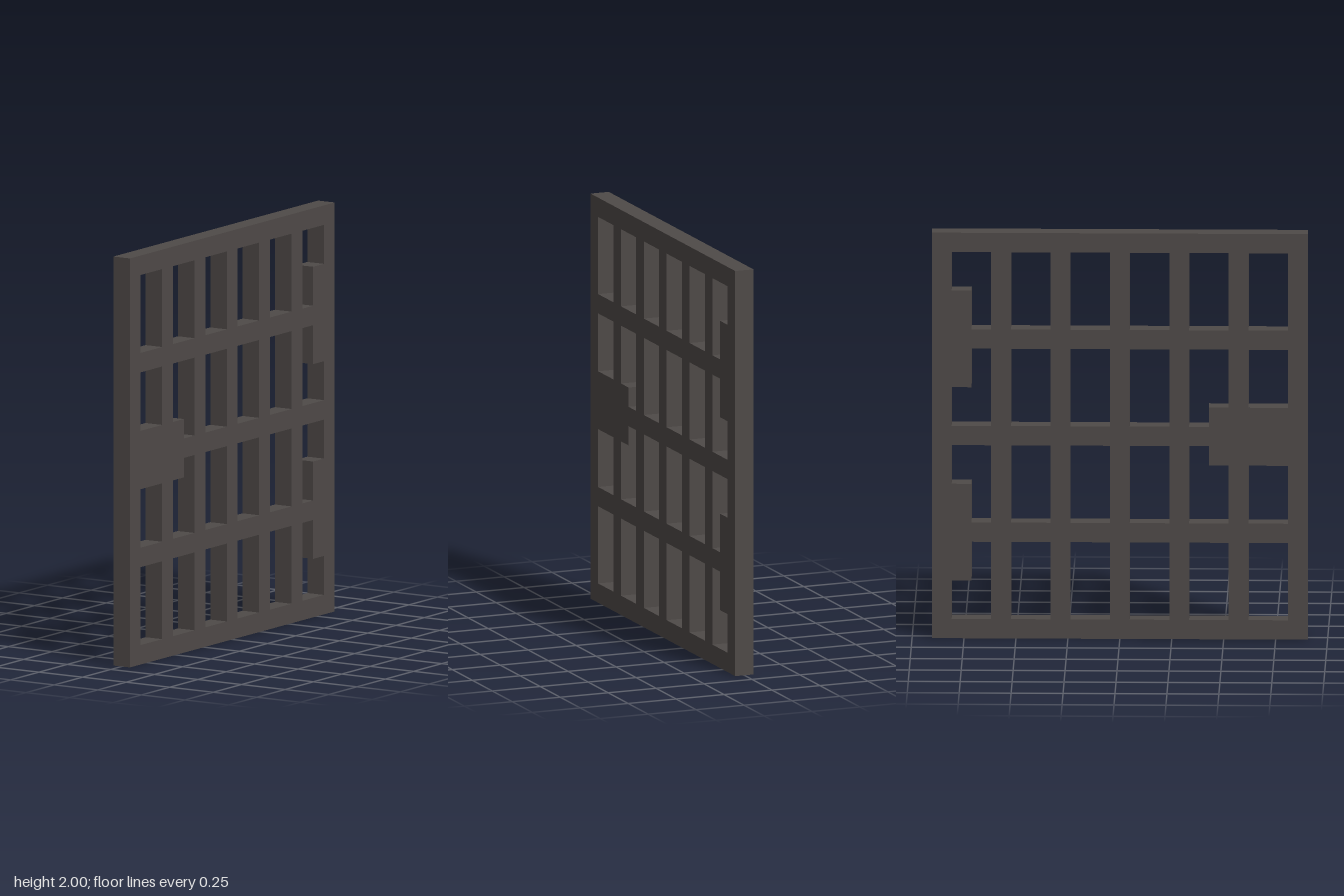
import * as THREE from 'three';

const U = 2 / 21;        // bar width: the gate is 19 bars wide and 21 high
const WIDE = 19, HIGH = 21;

// Turn corner points in bar units into an outline
const toPoints = (pts) =>
  pts.map(([u, v]) => new THREE.Vector2((u - WIDE / 2) * U, v * U));

// Solid plates filling parts of the lattice: [left, bottom, right, top]
const plates = [
  [0, 9, 5, 12],     // lock plate
  [17, 3, 18, 8],    // lower hinge plate
  [17, 13, 18, 18],  // upper hinge plate
];

// Outline of one opening, with its corner cut away where a plate covers it
function openingOutline(l, b, r, t) {
  const plate = plates.find((p) => p[0] < r && p[2] > l && p[1] < t && p[3] > b);
  if (!plate) return [[l, b], [r, b], [r, t], [l, t]];
  const [pl, pb, pr, pt] = plate;
  const fromBelow = pb <= b;
  // Plate spans the full width: shorten the opening
  if (pl <= l && pr >= r) {
    const b2 = fromBelow ? pt : b, t2 = fromBelow ? t : pb;
    return [[l, b2], [r, b2], [r, t2], [l, t2]];
  }
  // Plate covers one corner: L-shaped opening
  const fromLeft = pl <= l;
  const cx = fromLeft ? pr : pl, cy = fromBelow ? pt : pb;
  const near = fromLeft ? l : r, far = fromLeft ? r : l;
  const edge = fromBelow ? b : t, opposite = fromBelow ? t : b;
  return [[far, edge], [cx, edge], [cx, cy], [near, cy], [near, opposite], [far, opposite]];
}

export function createModel() {
  const iron = new THREE.MeshStandardMaterial({ color: 0x4f4a48 });
  iron.name = 'dark iron';

  // Outer frame
  const shape = new THREE.Shape(toPoints([[0, 0], [WIDE, 0], [WIDE, HIGH], [0, HIGH]]));

  // Six columns and four rows of openings
  for (let col = 0; col < 6; col++) {
    for (let row = 0; row < 4; row++) {
      const l = 1 + col * 3, b = 1 + row * 5;
      shape.holes.push(new THREE.Path(toPoints(openingOutline(l, b, l + 2, b + 4))));
    }
  }

  const geometry = new THREE.ExtrudeGeometry(shape, { depth: U, bevelEnabled: false });
  geometry.translate(0, 0, -U / 2);
  geometry.rotateY(Math.PI / 2);  // stand the gate in the plane facing the side

  const lattice = new THREE.Mesh(geometry, iron);
  lattice.name = 'gateLattice';

  const group = new THREE.Group();
  group.name = 'barredGate';
  group.add(lattice);
  return group;
}
